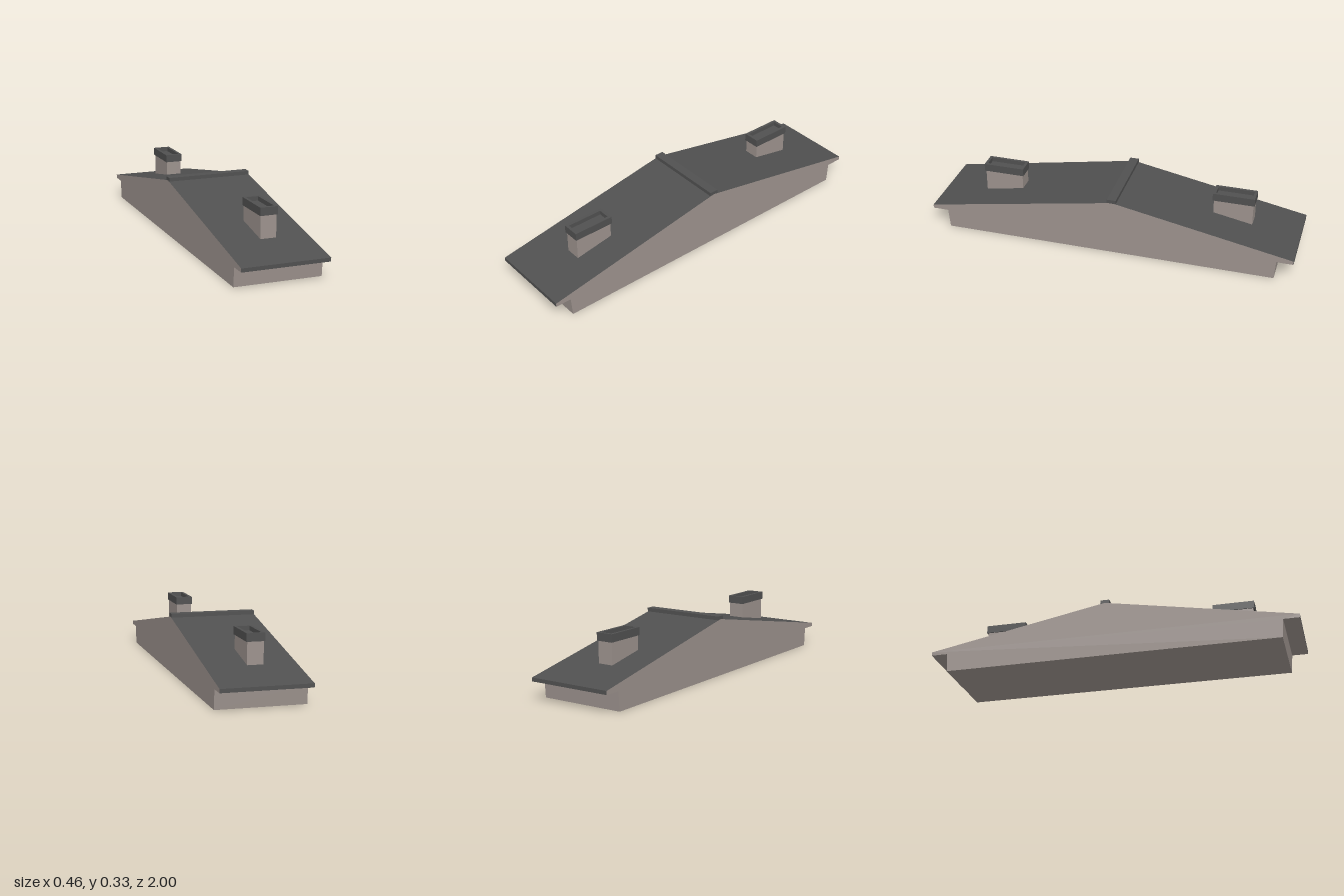
import * as THREE from 'three';

const HALF_W = 0.232;

export function createModel() {
  const model = new THREE.Group();
  const plaster = new THREE.MeshStandardMaterial({ color: 0x9c928d });
  plaster.name = 'plaster';
  const slate = new THREE.MeshStandardMaterial({ color: 0x505050 });
  slate.name = 'slate';

  const add = (parent, name, geometry, material, x = 0, y = 0, z = 0) => {
    const mesh = new THREE.Mesh(geometry, material);
    mesh.name = name;
    mesh.position.set(x, y, z);
    parent.add(mesh);
    return mesh;
  };

  // Sweeps a [z, y] path across the width as flat faces
  const sweep = (path) => {
    const pos = [];
    for (let i = 0; i < path.length - 1; i++) {
      const [az, ay] = path[i];
      const [bz, by] = path[i + 1];
      const a = [-HALF_W, ay, az], b = [HALF_W, ay, az];
      const c = [HALF_W, by, bz], d = [-HALF_W, by, bz];
      pos.push(...a, ...b, ...c, ...a, ...c, ...d);
    }
    const g = new THREE.BufferGeometry();
    g.setAttribute('position', new THREE.Float32BufferAttribute(pos, 3));
    g.computeVertexNormals();
    return g;
  };

  // Roof slopes with the eave edges, then the walls, soffits and base below
  const roofPath = [[1, 0.102], [1, 0.122], [-0.026, 0.308], [-1, 0.122], [-1, 0.102]];
  const wallPath = [[-1, 0.102], [-0.911, 0.102], [-0.904, 0], [0.906, 0], [0.914, 0.102], [1, 0.102]];
  add(model, 'roof', sweep(roofPath), slate);
  add(model, 'wallsAndBase', sweep(wallPath), plaster);

  // Gable faces on both long sides
  const outline = [...roofPath, ...wallPath.slice(1, -1)];
  for (const side of [1, -1]) {
    const shape = new THREE.Shape(outline.map(([z, y]) => new THREE.Vector2(-side * z, y)));
    const g = new THREE.ShapeGeometry(shape).rotateY(side * Math.PI / 2);
    add(model, side > 0 ? 'leftGable' : 'rightGable', g, plaster, side * HALF_W);
  }

  // Ridge cap
  add(model, 'ridgeCap', new THREE.BoxGeometry(HALF_W * 2, 0.02, 0.049), slate, 0, 0.315, -0.026);

  // Chimneys: shaft, hollow cap and the floor inside the cap
  const rect = (Type, w, d) => new Type([[-w, -d], [w, -d], [w, d], [-w, d]]
    .map(([x, y]) => new THREE.Vector2(x / 2, y / 2)));
  const chimney = (name, x, z) => {
    const group = new THREE.Group();
    group.name = name;
    group.position.set(x, 0, z);
    add(group, 'shaft', new THREE.BoxGeometry(0.084, 0.15, 0.212), plaster, 0, 0.215, 0);
    const ring = rect(THREE.Shape, 0.094, 0.225);
    ring.holes.push(rect(THREE.Path, 0.064, 0.195));
    const cap = new THREE.ExtrudeGeometry(ring, { depth: 0.042, bevelEnabled: false });
    add(group, 'cap', cap.rotateX(-Math.PI / 2), slate, 0, 0.287, 0);
    add(group, 'capFloor', new THREE.BoxGeometry(0.064, 0.018, 0.195), slate, 0, 0.297, 0);
    model.add(group);
  };
  chimney('frontChimney', 0.019, 0.637);
  chimney('backChimney', -0.021, -0.637);

  return model;
}
